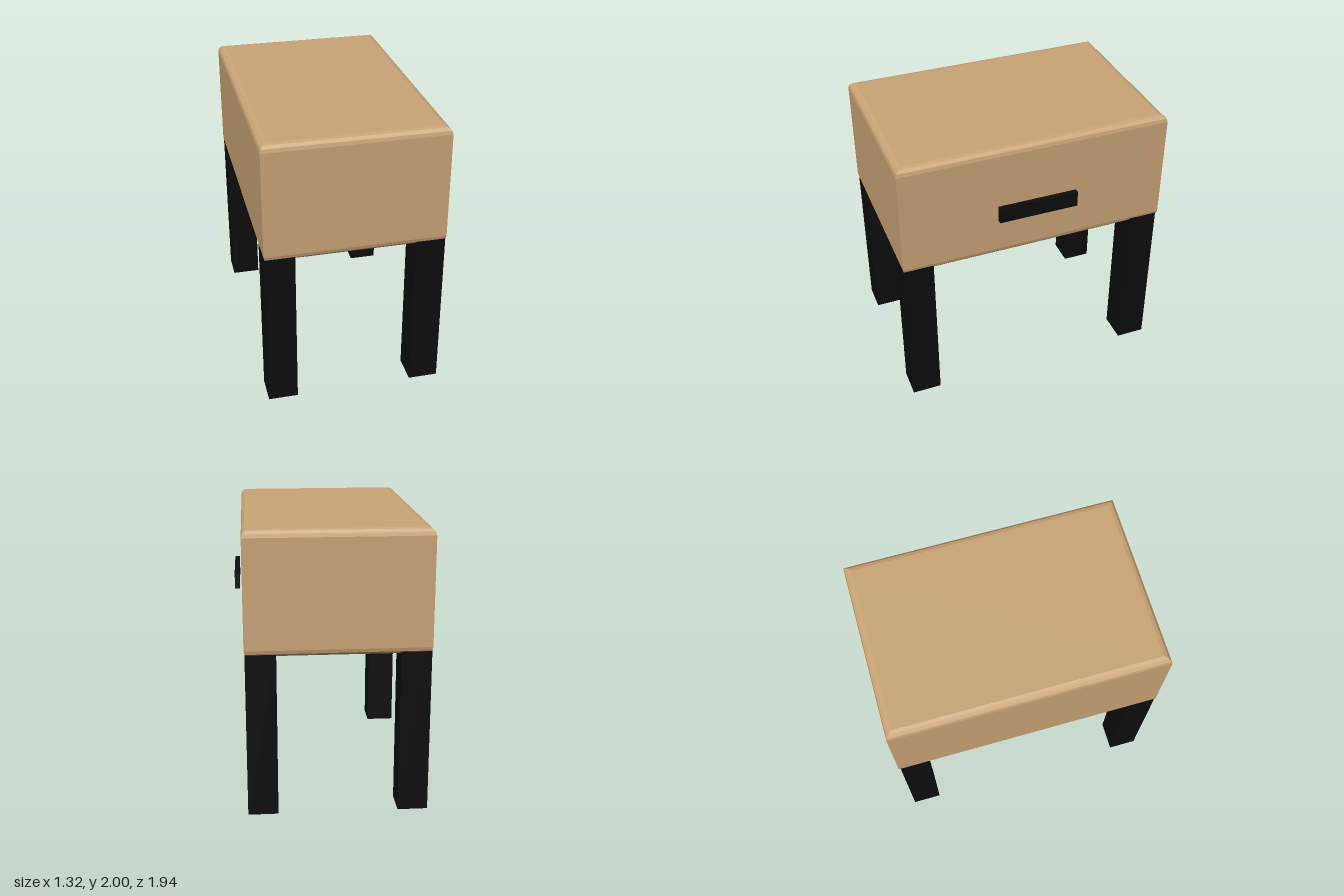
import * as THREE from 'three';

export function createModel() {
  const model = new THREE.Group();
  model.name = 'nightstand';

  const wood = new THREE.MeshStandardMaterial({ color: 0xcaa476, flatShading: true });
  wood.name = 'light wood';
  const black = new THREE.MeshStandardMaterial({ color: 0x0d0d0d, flatShading: true });
  black.name = 'black';

  // Box given by its minimum and maximum corners
  function addBox(name, min, max, material, ySegments = 1) {
    const size = max.map((v, i) => v - min[i]);
    const mesh = new THREE.Mesh(new THREE.BoxGeometry(...size, 1, ySegments, 1), material);
    mesh.position.set(...max.map((v, i) => (v + min[i]) / 2));
    mesh.name = name;
    model.add(mesh);
    return mesh;
  }

  // Cabinet: top and bottom edges rounded, vertical corners kept sharp and mitred
  const radius = 0.05, steps = 3, rows = 2 * steps + 1;
  const cabinet = addBox('cabinet', [-0.66, 1.145, -0.97], [0.605, 2, 0.967], wood, rows);
  const height = cabinet.geometry.parameters.height;
  const pos = cabinet.geometry.attributes.position;
  for (let i = 0; i < pos.count; i++) {
    const row = Math.round((pos.getY(i) / height + 0.5) * rows);
    const step = Math.min(row, rows - row);
    const angle = (step / steps) * Math.PI / 2;
    const inset = radius * (1 - Math.sin(angle));
    const y = height / 2 - radius * (1 - Math.cos(angle));
    pos.setXYZ(
      i,
      pos.getX(i) - Math.sign(pos.getX(i)) * inset,
      row > rows / 2 ? y : -y,
      pos.getZ(i) - Math.sign(pos.getZ(i)) * inset
    );
  }
  cabinet.geometry = cabinet.geometry.toNonIndexed();
  cabinet.geometry.computeVertexNormals();

  // Four square legs reaching into the rounded lower edge
  for (const [xName, x] of [['Right', -0.657], ['Left', 0.39]]) {
    for (const [zName, z] of [['front', 0.75], ['back', -0.957]]) {
      addBox(`${zName}${xName}Leg`, [x, 0, z], [x + 0.21, 1.19, z + 0.21], black);
    }
  }

  // Drawer handle, standing just off the side
  addBox('handle', [0.625, 1.455, -0.287], [0.66, 1.57, 0.284], black);

  return model;
}
